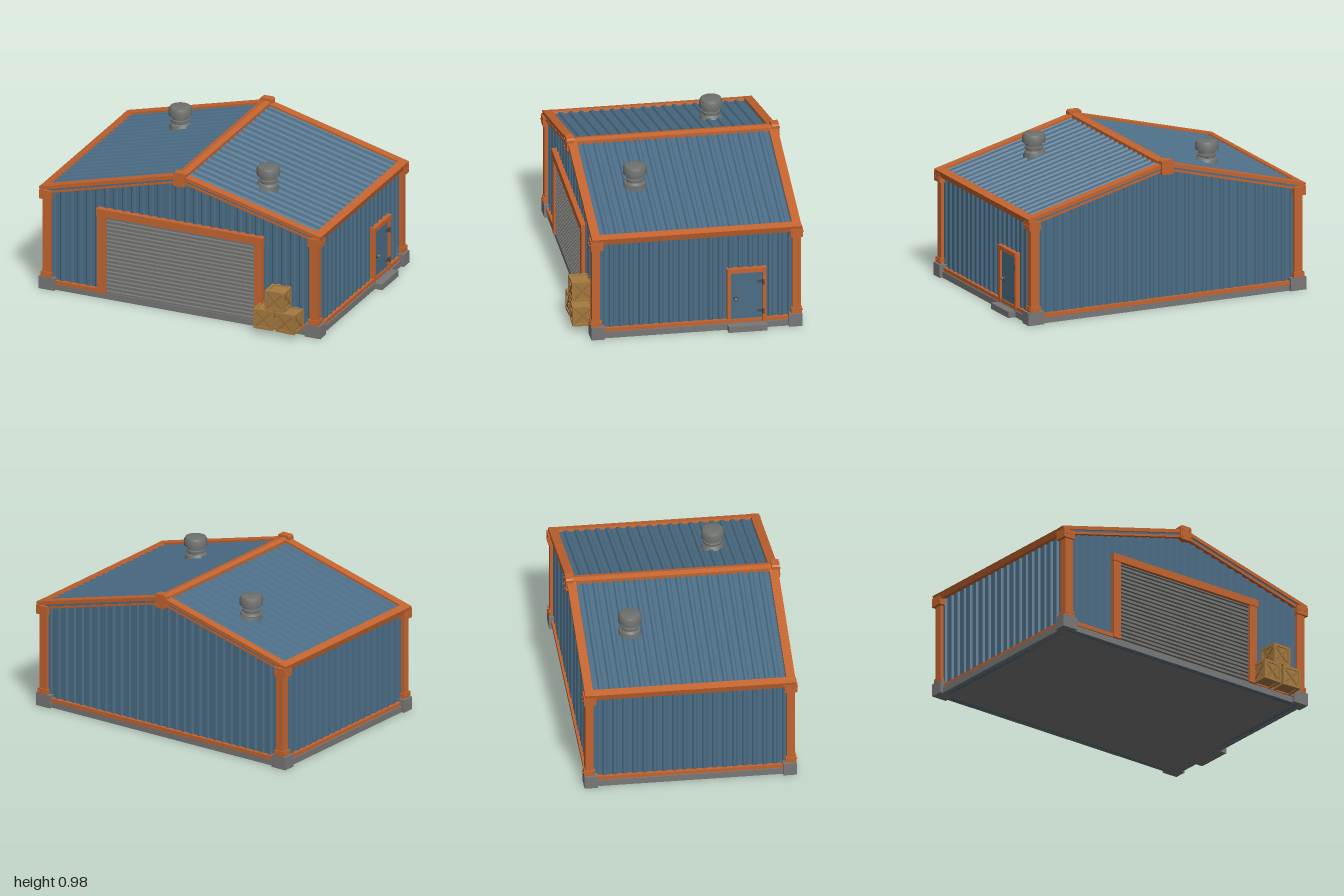
import * as THREE from 'three';
import { toCreasedNormals } from 'three/addons/utils/BufferGeometryUtils.js';

const mat = (name, color) => {
  const m = new THREE.MeshStandardMaterial({ color });
  m.name = name;
  return m;
};

const RIDGE = 0.955, HALF = 0.985, DROP = 0.255;
const ANGLE = Math.atan2(DROP, HALF), SLOPE = Math.hypot(DROP, HALF);
const roofY = x => RIDGE - Math.abs(x) * DROP / HALF;

// Sheet with trapezoid ribs: width along x, length up y, ribs bulging to +z
function corrugated(width, length, pitch, depth, top) {
  const n = Math.max(2, 2 * Math.round(width / pitch / 2)), p = width / n;
  const s = new THREE.Shape();
  s.moveTo(-width / 2, 0.02);
  s.lineTo(-width / 2, 0);
  for (let i = 0; i < n; i++) {
    const c = -width / 2 + (i + 0.5) * p;
    s.lineTo(c - p * 0.28, 0);
    s.lineTo(c - p * 0.14, -depth);
    s.lineTo(c + p * 0.14, -depth);
    s.lineTo(c + p * 0.28, 0);
    s.lineTo(c + p * 0.5, 0);
  }
  s.lineTo(width / 2, 0.02);
  s.lineTo(0, 0.02);
  const g = new THREE.ExtrudeGeometry(s, { depth: length, bevelEnabled: false });
  g.rotateX(-Math.PI / 2);
  if (top) {
    const a = g.attributes.position;
    for (let i = 0; i < a.count; i++) if (a.getY(i) > length / 2) a.setY(i, top(a.getX(i)));
    g.computeVertexNormals();
  }
  return g;
}

export function createModel() {
  const orange = mat('orange steel', 0xc4642f);
  const blue = mat('blue cladding', 0x4b6d86);
  const concrete = mat('concrete', 0x777877);
  const metal = mat('grey metal', 0x6e706e);
  const shutterGrey = mat('shutter grey', 0x757673);
  const wood = mat('crate wood', 0xa67a40);
  const darkWood = mat('crate boards', 0x9a6e37);
  const iron = mat('dark iron', 0x4c4a48);

  const model = new THREE.Group();
  model.name = 'warehouse';
  const hall = new THREE.Group();
  hall.name = 'hall';
  hall.position.set(-0.015, 0, -0.05);
  model.add(hall);

  const add = (parent, name, geo, m, x = 0, y = 0, z = 0) => {
    const mesh = new THREE.Mesh(geo, m);
    mesh.name = name;
    mesh.position.set(x, y, z);
    parent.add(mesh);
    return mesh;
  };
  // Box given by its minimum and maximum on each axis
  const box = (parent, name, m, x0, x1, y0, y1, z0, z1) =>
    add(parent, name, new THREE.BoxGeometry(x1 - x0, y1 - y0, z1 - z0), m,
      (x0 + x1) / 2, (y0 + y1) / 2, (z0 + z1) / 2);
  // Bolt head whose axis is x or z
  const bolt = (parent, m, axis, x, y, z, r = 0.006) => {
    const g = new THREE.CylinderGeometry(r, r, 0.012, 8);
    if (axis === 'x') g.rotateZ(Math.PI / 2); else g.rotateX(Math.PI / 2);
    add(parent, 'bolt', g, m, x, y, z);
  };

  // Floor slab and side step
  box(hall, 'floorSlab', concrete, -0.965, 0.965, 0, 0.042, -0.66, 0.66);
  box(hall, 'doorStep', concrete, 0.95, 1.015, 0, 0.04, -0.45, -0.2);

  // Walls
  for (const s of [1, -1]) {
    const gable = add(hall, s > 0 ? 'frontWall' : 'backWall',
      corrugated(1.86, 1, 0.064, 0.012, x => roofY(x) - 0.03), blue, 0, 0, s * 0.64);
    const side = add(hall, s > 0 ? 'leftWall' : 'rightWall',
      corrugated(1.28, 0.675, 0.063, 0.012), blue, s * 0.93, 0, 0);
    gable.rotation.y = s > 0 ? 0 : Math.PI;
    side.rotation.y = s * Math.PI / 2;
    box(hall, 'sideRail', orange, s * 0.945 - 0.012, s * 0.945 + 0.012, 0.04, 0.066, -0.62, 0.62);
  }
  box(hall, 'backRail', orange, -0.9, 0.9, 0.04, 0.066, -0.667, -0.643);
  box(hall, 'frontRail', orange, -0.9, -0.57, 0.04, 0.066, 0.643, 0.667);
  box(hall, 'frontRail', orange, 0.57, 0.9, 0.04, 0.066, 0.643, 0.667);

  // Corner columns with footings and brackets
  for (const sx of [1, -1]) for (const sz of [1, -1]) {
    const corner = new THREE.Group();
    corner.name = 'cornerColumn';
    hall.add(corner);
    const block = (name, m, w, y0, y1, d, x, z) =>
      add(corner, name, new THREE.BoxGeometry(w, y1 - y0, d), m, sx * x, (y0 + y1) / 2, sz * z);
    block('footing', concrete, 0.11, 0, 0.085, 0.086, 0.93, 0.637);
    block('column', orange, 0.058, 0.08, 0.66, 0.052, 0.934, 0.646);
    block('columnFoot', orange, 0.074, 0.085, 0.12, 0.07, 0.934, 0.645);
    block('eaveBracket', orange, 0.084, 0.625, 0.685, 0.082, 0.94, 0.643);
    for (const d of [-0.02, 0.02]) {
      bolt(corner, orange, 'z', sx * (0.94 + d), 0.655, sz * 0.685);
      bolt(corner, orange, 'x', sx * 0.982, 0.655, sz * (0.643 + d));
      bolt(corner, orange, 'z', sx * (0.934 + d), 0.103, sz * 0.681, 0.005);
      bolt(corner, orange, 'x', sx * 0.972, 0.103, sz * (0.645 + d), 0.005);
    }
  }

  // Roof slopes, local +x running down from the ridge
  const turn = new THREE.Matrix4().makeBasis(
    new THREE.Vector3(0, 0, 1), new THREE.Vector3(1, 0, 0), new THREE.Vector3(0, 1, 0));
  for (const s of [1, -1]) {
    const half = new THREE.Group();
    half.name = s > 0 ? 'leftRoof' : 'rightRoof';
    half.rotation.y = s > 0 ? 0 : Math.PI;
    hall.add(half);
    const slope = new THREE.Group();
    slope.name = 'roofSlope';
    slope.position.y = RIDGE;
    slope.rotation.z = -ANGLE;
    half.add(slope);
    add(slope, 'roofSheet', corrugated(1.33, SLOPE - 0.01, 0.066, 0.011).applyMatrix4(turn), blue, 0, -0.018, 0);
    for (const z of [1, -1]) {
      box(slope, 'rafter', orange, 0, SLOPE, -0.022, 0.002, z * 0.647 - 0.028, z * 0.647 + 0.028);
      box(slope, 'gableTrim', orange, 0.02, SLOPE - 0.04, -0.05, -0.036, z * 0.655 - 0.014, z * 0.655 + 0.014);
    }
    box(slope, 'eaveBeam', orange, SLOPE - 0.053, SLOPE, -0.04, 0.001, -0.66, 0.66);
  }

  // Ridge cap and gusset plates
  const cap = new THREE.Shape([[-0.034, 0.925], [0.034, 0.925], [0.034, 0.953], [0, 0.962], [-0.034, 0.953]]
    .map(p => new THREE.Vector2(...p)));
  add(hall, 'ridgeCap', new THREE.ExtrudeGeometry(cap, { depth: 1.34, bevelEnabled: false }), orange, 0, 0, -0.67);
  const plate = new THREE.Shape([[-0.043, 0.89], [-0.033, 0.88], [0.033, 0.88], [0.043, 0.89],
    [0.043, 0.966], [0.034, 0.975], [-0.034, 0.975], [-0.043, 0.966]].map(p => new THREE.Vector2(...p)));
  for (const s of [1, -1]) {
    add(hall, 'ridgePlate', new THREE.ExtrudeGeometry(plate, { depth: 0.05, bevelEnabled: false }),
      orange, 0, 0, s * 0.66 - 0.025);
    for (const x of [-0.027, 0.027]) for (const y of [0.9, 0.95]) bolt(hall, orange, 'z', x, y, s * 0.685);
  }

  // Roof vents
  const profile = [[0.064, 0.8], [0.064, 0.838], [0.05, 0.852], [0.05, 0.862], [0.06, 0.866], [0.06, 0.876],
    [0.052, 0.88], [0.052, 0.9], [0.075, 0.906], [0.075, 0.944], [0.066, 0.96], [0.05, 0.965], [0, 0.965]]
    .map(p => new THREE.Vector2(...p));
  for (const [x, z] of [[0.455, 0.315], [-0.455, -0.325]]) {
    const vent = new THREE.Group();
    vent.name = 'roofVent';
    vent.position.set(x, 0, z);
    hall.add(vent);
    add(vent, 'ventStack', toCreasedNormals(new THREE.LatheGeometry(profile, 24), 0.6), metal);
    const flange = add(vent, 'ventFlange', new THREE.CylinderGeometry(0.066, 0.076, 0.025, 24), metal, 0, roofY(x) - 0.005, 0);
    flange.rotation.z = -Math.sign(x) * ANGLE;
  }

  // Roller shutter and its frame
  const shutter = corrugated(0.54, 1.05, 0.028, 0.012);
  shutter.rotateZ(Math.PI / 2);
  add(hall, 'rollerShutter', shutter, shutterGrey, 0.525, 0.311, 0.655);
  for (const s of [1, -1]) box(hall, 'shutterPost', orange, s * 0.548 - 0.029, s * 0.548 + 0.029, 0.04, 0.58, 0.64, 0.677);
  box(hall, 'shutterLintel', orange, -0.582, 0.582, 0.575, 0.625, 0.64, 0.683);

  // Side door
  const door = new THREE.Group();
  door.name = 'sideDoor';
  hall.add(door);
  box(door, 'doorPanel', blue, 0.93, 0.949, 0.06, 0.4, -0.435, -0.215);
  box(door, 'doorPost', orange, 0.93, 0.963, 0.04, 0.4, -0.222, -0.2);
  box(door, 'doorPost', orange, 0.93, 0.963, 0.04, 0.4, -0.45, -0.428);
  box(door, 'doorLintel', orange, 0.93, 0.968, 0.392, 0.42, -0.452, -0.198);
  for (const y of [0.115, 0.32]) {
    box(door, 'hinge', iron, 0.945, 0.956, y - 0.008, y + 0.008, -0.43, -0.395);
    add(door, 'hingePin', new THREE.CylinderGeometry(0.008, 0.008, 0.035, 10), iron, 0.962, y, -0.432);
  }
  bolt(door, iron, 'x', 0.952, 0.207, -0.255, 0.016);
  add(door, 'doorKnob', new THREE.SphereGeometry(0.011, 12, 8), metal, 0.964, 0.207, -0.255);

  // Crates
  const makeCrate = (x, y, z, turnY) => {
    const S = 0.134, h = S / 2, w = 0.017;
    const crate = new THREE.Group();
    crate.name = 'crate';
    crate.position.set(x, y + h, z);
    crate.rotation.y = turnY;
    hall.add(crate);
    add(crate, 'crateBody', new THREE.BoxGeometry(S - 0.014, S - 0.014, S - 0.014), wood);
    for (const a of [1, -1]) for (const b of [1, -1]) {
      const o = h - w / 2;
      add(crate, 'crateEdge', new THREE.BoxGeometry(S, w, w), wood, 0, a * o, b * o);
      add(crate, 'crateEdge', new THREE.BoxGeometry(w, S, w), wood, a * o, 0, b * o);
      add(crate, 'crateEdge', new THREE.BoxGeometry(w, w, S), wood, a * o, b * o, 0);
    }
    // Crossed braces on the four upright sides
    for (let i = 0; i < 4; i++) {
      const face = new THREE.Group();
      face.name = 'crateBraces';
      face.rotation.y = i * Math.PI / 2;
      crate.add(face);
      for (const s of [1, -1])
        add(face, 'brace', new THREE.BoxGeometry(0.145, 0.013, 0.005), darkWood, 0, 0, h - 0.005 + s * 0.0005)
          .rotation.z = s * Math.PI / 4;
    }
  };
  makeCrate(0.627, 0.042, 0.71, 0.04);
  makeCrate(0.785, 0.042, 0.71, -0.05);
  makeCrate(0.705, 0.178, 0.705, 0.03);

  return model;
}
